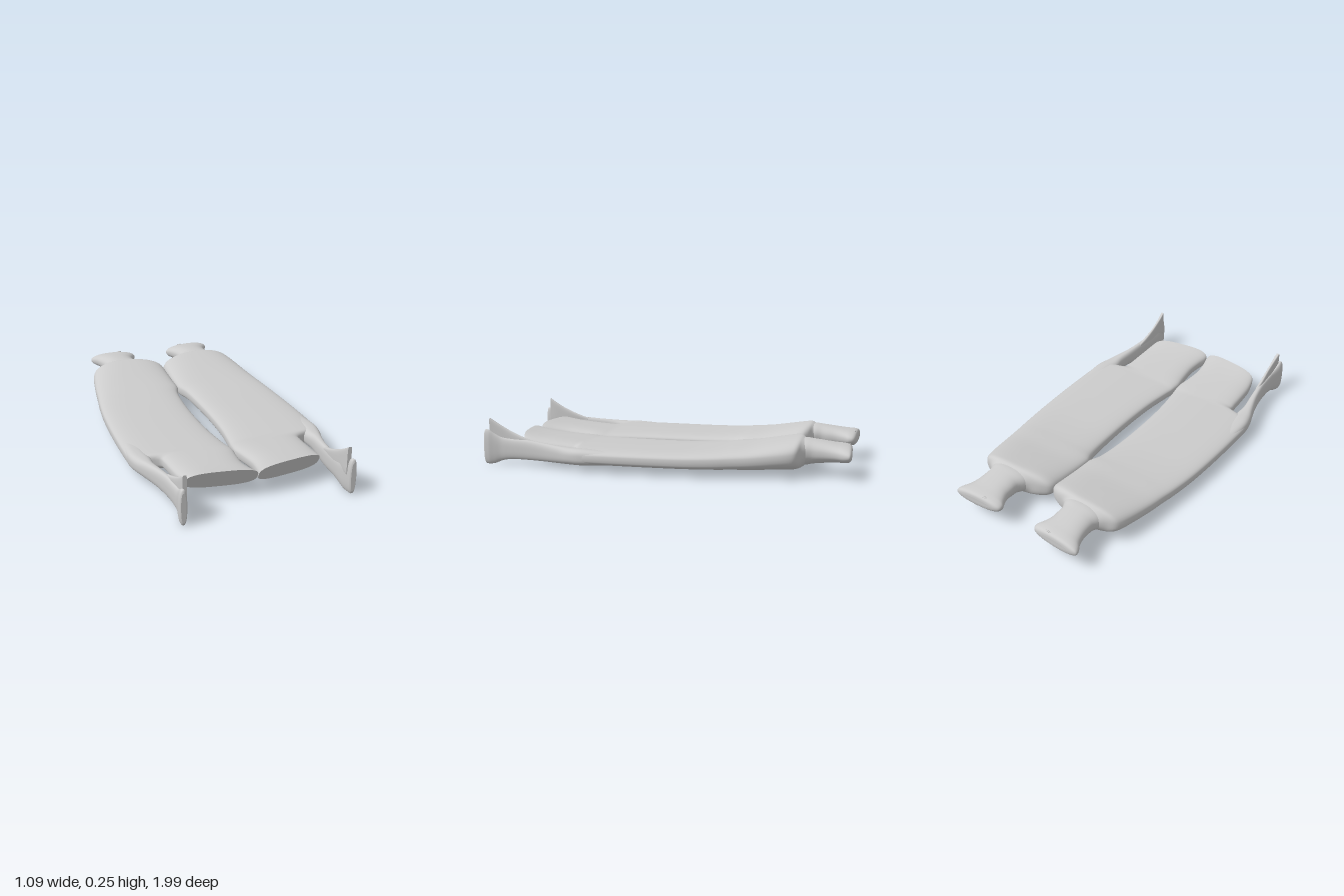
import * as THREE from 'three';

const SIDES = 48;
const STEPS = 4;

// Catmull-Rom blend of the station rows, all channels at once
function refine(stations) {
  const rows = stations.map(([z, x0, x1, y0, y1, n, skew = 0, shear = 0]) => [z, x0, x1, y0, y1, n, skew, shear]);
  const out = [];
  for (let i = 0; i < rows.length - 1; i++) {
    const a = rows[Math.max(i - 1, 0)], b = rows[i], c = rows[i + 1], d = rows[Math.min(i + 2, rows.length - 1)];
    for (let s = 0; s < STEPS; s++) {
      const t = s / STEPS;
      out.push(b.map((v, k) => {
        const m = (c[k] - a[k]) / 2, n = (d[k] - v) / 2, w = c[k] - v;
        const r = v + m * t + (3 * w - 2 * m - n) * t * t + (m + n - 2 * w) * t * t * t;
        // keep between neighbours so nothing overshoots
        return Math.min(Math.max(r, Math.min(v, c[k])), Math.max(v, c[k]));
      }));
    }
  }
  out.push(rows[rows.length - 1]);
  return out;
}

// Loft of superellipse sections: [z, x0, x1, y0, y1, exponent, z skew by x, z shear by y]
function loft(stations, side) {
  const st = refine(stations);
  const pos = [], idx = [];
  const ring = ([z, x0, x1, y0, y1, n, skew, shear]) => {
    const cx = (x0 + x1) / 2, cy = (y0 + y1) / 2;
    for (let j = 0; j < SIDES; j++) {
      const a = (j / SIDES) * Math.PI * 2, c = Math.cos(a), s = Math.sin(a);
      const dx = Math.sign(c) * Math.abs(c) ** (2 / n) * (x1 - x0) / 2;
      const dy = Math.sign(s) * Math.abs(s) ** (2 / n) * (y1 - y0) / 2;
      pos.push(side * (cx + dx), cy + dy, z + skew * dx + shear * dy);
    }
  };
  const tri = (a, b, c) => (side > 0 ? idx.push(a, b, c) : idx.push(a, c, b));
  st.forEach(ring);
  for (let i = 0; i < st.length - 1; i++) {
    for (let j = 0; j < SIDES; j++) {
      const k = (j + 1) % SIDES, p = i * SIDES, q = p + SIDES;
      tri(p + j, p + k, q + j);
      tri(p + k, q + k, q + j);
    }
  }
  // end caps with their own vertices, so the rims stay crisp
  [[st[0], -1], [st[st.length - 1], 1]].forEach(([row, dir]) => {
    const base = pos.length / 3;
    ring(row);
    pos.push(side * (row[1] + row[2]) / 2, (row[3] + row[4]) / 2, row[0]);
    for (let j = 0; j < SIDES; j++) {
      const k = (j + 1) % SIDES;
      if (dir > 0) tri(base + SIDES, base + j, base + k);
      else tri(base + SIDES, base + k, base + j);
    }
  });
  const g = new THREE.BufferGeometry();
  g.setAttribute('position', new THREE.Float32BufferAttribute(pos, 3));
  g.setIndex(idx);
  g.computeVertexNormals();
  return g;
}

// Broad padded panel, from the shoulder to the raised front lip
const PANEL = [
  [-0.755, 0.14, 0.36, 0.06, 0.18, 2.2],
  [-0.735, 0.11, 0.39, 0.045, 0.188, 2.4],
  [-0.715, 0.05, 0.43, 0.036, 0.194, 2.5],
  [-0.68, 0.005, 0.45, 0.03, 0.19, 2.6],
  [-0.6, 0.0, 0.468, 0.03, 0.175, 2.7],
  [-0.48, 0.0, 0.487, 0.03, 0.152, 3],
  [-0.38, 0.0, 0.5, 0.03, 0.14, 3.2],
  [-0.3, 0.025, 0.512, 0.03, 0.131, 3.4],
  [-0.15, 0.038, 0.528, 0.03, 0.122, 3.6],
  [0.05, 0.042, 0.539, 0.03, 0.12, 3.6],
  [0.25, 0.035, 0.543, 0.03, 0.12, 3.6],
  [0.4, 0.017, 0.54, 0.03, 0.12, 3.6],
  [0.45, 0.009, 0.52, 0.031, 0.12, 3.6],
  [0.485, 0.005, 0.4, 0.033, 0.122, 3.6],
  [0.53, 0.002, 0.385, 0.034, 0.126, 3.4],
  [0.6, 0.013, 0.382, 0.036, 0.132, 3.2],
  [0.7, 0.022, 0.378, 0.042, 0.142, 3],
  [0.76, 0.014, 0.372, 0.047, 0.152, 3, -0.08, 0.25],
  [0.8, 0.003, 0.365, 0.052, 0.161, 3, -0.13, 0.45],
  [0.815, 0.002, 0.36, 0.056, 0.164, 3, -0.15, 0.5],
];

// Neck that flares into a rounded end piece
const NECK = [
  [-0.984, 0.17, 0.345, 0.108, 0.135, 2, -0.05],
  [-0.981, 0.14, 0.375, 0.092, 0.15, 2.1, -0.05],
  [-0.97, 0.117, 0.395, 0.08, 0.159, 2.2, -0.05],
  [-0.945, 0.112, 0.388, 0.075, 0.164, 2.3, -0.04],
  [-0.91, 0.13, 0.365, 0.073, 0.168, 2.4, -0.02],
  [-0.86, 0.147, 0.351, 0.068, 0.175, 2.4],
  [-0.79, 0.148, 0.348, 0.06, 0.184, 2.4],
  [-0.74, 0.125, 0.365, 0.05, 0.188, 2.4],
  [-0.68, 0.1, 0.38, 0.05, 0.18, 2.4],
];

// Outer arm that runs forward and ends in a tall upright pad
const ARM = [
  [0.25, 0.44, 0.535, 0.04, 0.11, 2.6],
  [0.4, 0.44, 0.54, 0.032, 0.118, 2.8],
  [0.48, 0.432, 0.527, 0.031, 0.119, 2.6],
  [0.55, 0.437, 0.503, 0.031, 0.123, 2.5],
  [0.65, 0.424, 0.473, 0.031, 0.131, 2.5],
  [0.75, 0.413, 0.455, 0.031, 0.14, 2.5],
  [0.84, 0.41, 0.447, 0.03, 0.142, 2.5],
  [0.9, 0.408, 0.446, 0.02, 0.15, 2.5],
  [0.94, 0.413, 0.453, 0.004, 0.167, 2.5],
  [0.97, 0.419, 0.46, 0.0, 0.186, 2.5],
  [0.992, 0.421, 0.46, 0.003, 0.191, 2.5],
  [1.0, 0.428, 0.454, 0.018, 0.175, 2.4],
];

// Thin fin rising from the inner face of the pad
const FIN = [
  [0.72, 0.42, 0.435, 0.1, 0.135, 2.5],
  [0.78, 0.415, 0.437, 0.1, 0.155, 3],
  [0.86, 0.412, 0.432, 0.1, 0.188, 3],
  [0.93, 0.412, 0.434, 0.1, 0.226, 4],
  [0.972, 0.415, 0.437, 0.1, 0.252, 6],
];

export function createModel() {
  const model = new THREE.Group();
  model.name = 'pairedPanels';
  const material = new THREE.MeshStandardMaterial({ color: 0xcccccc });
  const parts = { panel: PANEL, neck: NECK, arm: ARM, fin: FIN };
  for (const side of [1, -1]) {
    const half = new THREE.Group();
    half.name = side > 0 ? 'leftHalf' : 'rightHalf';
    for (const [name, stations] of Object.entries(parts)) {
      const mesh = new THREE.Mesh(loft(stations, side), material);
      mesh.name = name;
      half.add(mesh);
    }
    // Small crease on top of the end piece
    const crease = new THREE.Mesh(new THREE.SphereGeometry(1, 12, 8), material);
    crease.name = 'crease';
    crease.scale.set(0.016, 0.004, 0.005);
    crease.position.set(side * 0.21, 0.158, -0.967);
    half.add(crease);
    model.add(half);
  }
  return model;
}
